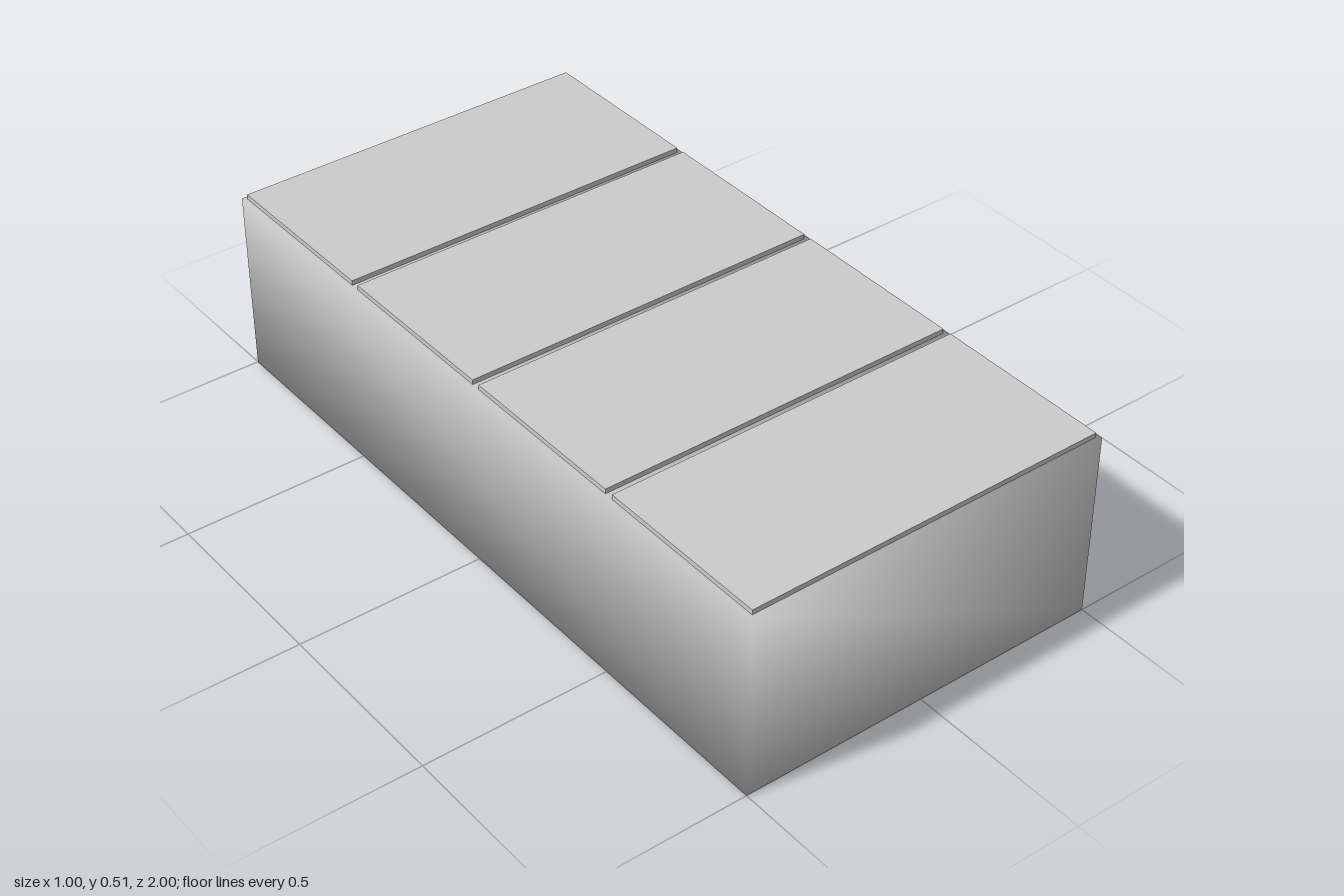
import * as THREE from 'three';

const grey = new THREE.MeshStandardMaterial({ color: 0xcccccc });

// Block with eight shared corners, so the shading blends around its edges
function softBlock(width, height, depth) {
  const ring = [[-1, 1], [1, 1], [1, -1], [-1, -1]];
  const positions = [], normals = [], k = 1 / Math.sqrt(3);
  for (const sy of [-1, 1]) {
    for (const [sx, sz] of ring) {
      positions.push(sx * width / 2, sy * height / 2, sz * depth / 2);
      normals.push(sx * k, sy * k, sz * k);
    }
  }
  const index = [0, 3, 1, 1, 3, 2, 4, 5, 6, 4, 6, 7]; // bottom and top
  for (let i = 0; i < 4; i++) {
    const j = (i + 1) % 4;
    index.push(i + 4, i, j, i + 4, j, j + 4); // one side
  }
  const geometry = new THREE.BufferGeometry();
  geometry.setAttribute('position', new THREE.Float32BufferAttribute(positions, 3));
  geometry.setAttribute('normal', new THREE.Float32BufferAttribute(normals, 3));
  geometry.setIndex(index);
  return geometry;
}

export function createModel() {
  const model = new THREE.Group();
  model.name = 'panelledBlock';

  // Main body
  const height = 0.5;
  const body = new THREE.Mesh(softBlock(1, height, 2), grey);
  body.name = 'body';
  body.position.y = height / 2;
  model.add(body);

  // Four thin panels on top, with narrow gaps between them
  const thickness = 0.013, pitch = 0.501;
  const panelGeometry = new THREE.BoxGeometry(0.98, thickness, 0.477);
  for (let i = 0; i < 4; i++) {
    const panel = new THREE.Mesh(panelGeometry, grey);
    panel.name = `topPanel${i + 1}`;
    panel.position.set(0, height + thickness / 2, (1.5 - i) * pitch);
    model.add(panel);
  }
  return model;
}
